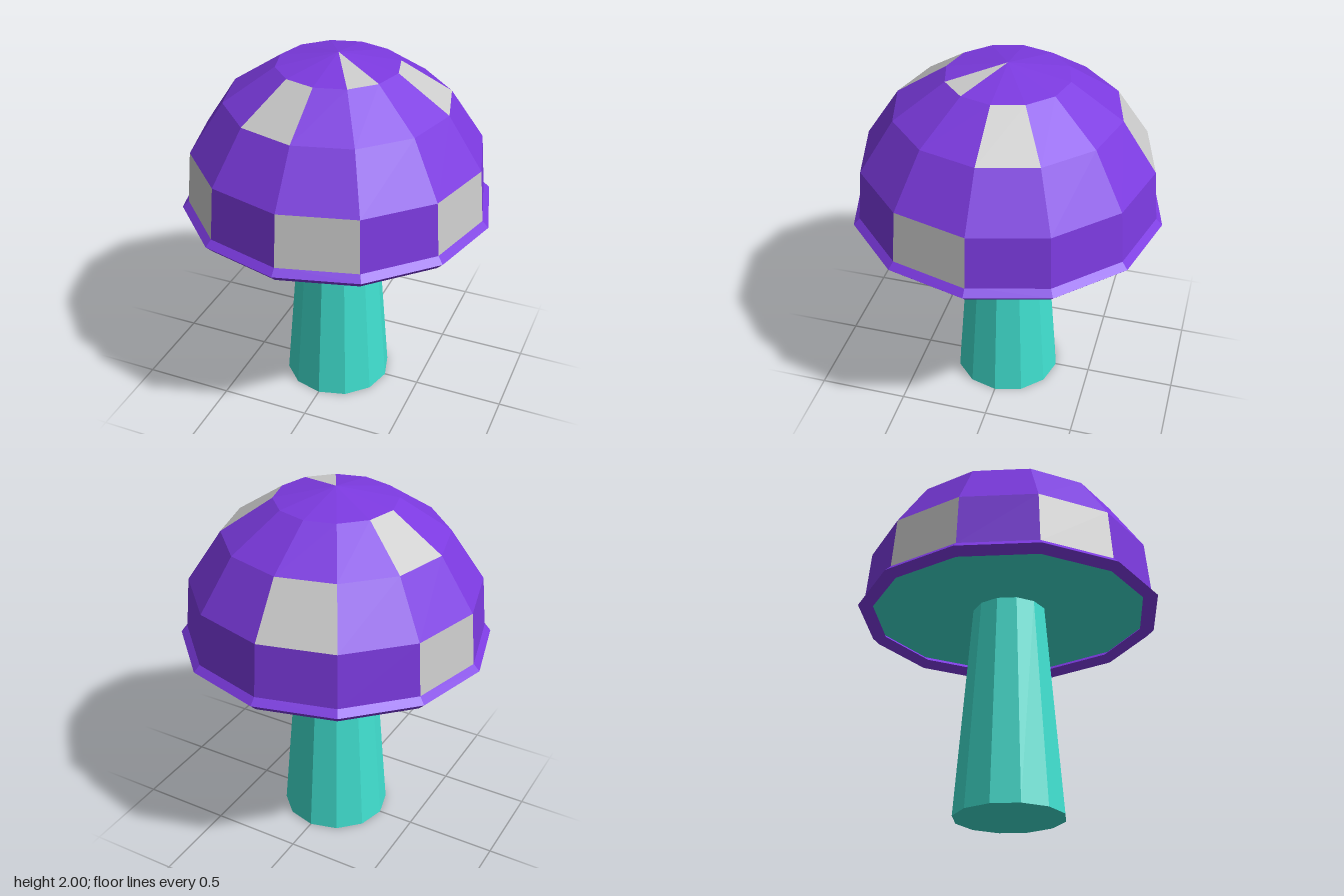
import * as THREE from 'three';

const SIDES = 12;
const STEP = (Math.PI * 2) / SIDES;

const paint = (color) => new THREE.MeshStandardMaterial({ color, flatShading: true });

export function createModel() {
  const model = new THREE.Group();
  const purple = paint(0x7c3ae0);
  const teal = paint(0x40e0d0);
  const grey = paint(0xcccccc);

  const add = (parent, name, geometry, material, y = 0) => {
    const mesh = new THREE.Mesh(geometry, material);
    mesh.name = name;
    mesh.position.y = y;
    parent.add(mesh);
    return mesh;
  };

  // Tapered stem
  const stemHeight = 1.18;
  add(model, 'stem', new THREE.CylinderGeometry(0.205, 0.3, stemHeight, SIDES), teal, stemHeight / 2);

  // Faceted cap: rings of [radius, height] from the rim to the tip,
  // each ring listing the facets that are pale spots
  const cap = new THREE.Group();
  cap.name = 'cap';
  model.add(cap);
  const rings = [[0.812, 1.185], [0.785, 1.475], [0.6, 1.752], [0.325, 1.936], [0, 2]];
  const spots = [[0, 2, 8, 10], [6], [3, 8, 11], [1]];
  spots.forEach((spotCells, i) => {
    const [r0, y0] = rings[i];
    const [r1, y1] = rings[i + 1];
    for (let k = 0; k < SIDES; k++) {
      const isSpot = spotCells.includes(k);
      const facet = new THREE.CylinderGeometry(r1, r0, y1 - y0, 1, 1, true, k * STEP, STEP);
      add(cap, isSpot ? 'capSpot' : 'capFacet', facet, isSpot ? grey : purple, (y0 + y1) / 2);
    }
  });

  // Diamond-section rim around the cap's lower edge
  const rimR = 0.805, rimT = 0.041;
  const section = [[0, -1], [1, 0], [0, 1], [-1, 0], [0, -1]]
    .map(([a, b]) => new THREE.Vector2(rimR + a * rimT, b * rimT));
  add(model, 'capRim', new THREE.LatheGeometry(section, SIDES), purple, 1.154);

  // Flat underside of the cap, facing down
  const underside = add(model, 'capUnderside', new THREE.CircleGeometry(0.8, SIDES), teal, 1.18);
  underside.rotation.x = Math.PI / 2;

  return model;
}
